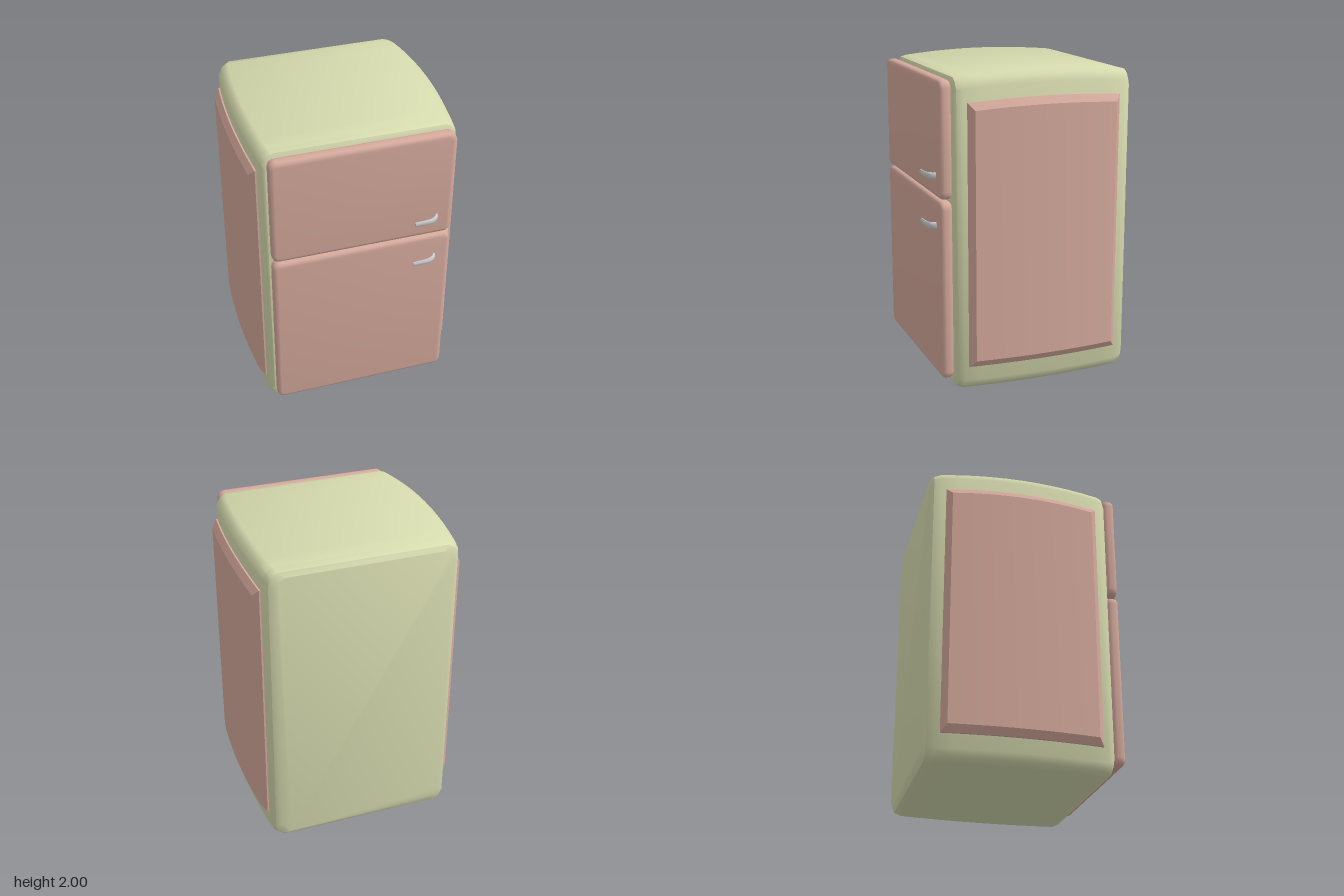
import * as THREE from 'three';
import { toCreasedNormals } from 'three/addons/utils/BufferGeometryUtils.js';

const shellMat = new THREE.MeshStandardMaterial({ color: 0xd6daae });
const panelMat = new THREE.MeshStandardMaterial({ color: 0xd6aa9d });
const metalMat = new THREE.MeshStandardMaterial({ color: 0xcccccc });

// Skins closed convex rings (counter-clockwise about the travel direction) and caps both ends
function loft(rings, crease) {
  const pos = [];
  const tri = (a, b, c) => {
    const area = b.clone().sub(a).cross(c.clone().sub(a)).length();
    if (area > 1e-8) pos.push(...a.toArray(), ...b.toArray(), ...c.toArray());
  };
  const n = rings[0].length;
  for (let i = 0; i < rings.length - 1; i++) {
    for (let j = 0; j < n; j++) {
      const k = (j + 1) % n, r = rings[i], s = rings[i + 1];
      tri(r[j], r[k], s[k]);
      tri(r[j], s[k], s[j]);
    }
  }
  const first = rings[0], last = rings[rings.length - 1];
  for (let j = 1; j < n - 1; j++) {
    tri(first[0], first[j + 1], first[j]);
    tri(last[0], last[j], last[j + 1]);
  }
  const geo = new THREE.BufferGeometry();
  geo.setAttribute('position', new THREE.Float32BufferAttribute(pos, 3));
  return toCreasedNormals(geo, crease);
}

function part(name, geo, mat) {
  const mesh = new THREE.Mesh(geo, mat);
  mesh.name = name;
  return mesh;
}

// Gentle bulge of the sides and roof, strongest mid-depth
const bulge = z => 1 - ((z + 0.06) / 0.53) ** 2;
const sideX = z => 0.61 + 0.034 * bulge(z);
const roofY = z => 1.975 + 0.025 * bulge(z);

// Cabinet: chamfered rectangles swept from back to front
function cabinet() {
  const section = (z, w, bottom, top) => {
    const corner = [[0, 0.07], [0.022, 0.025], [0.06, 0]];
    const right = [
      ...corner.map(([x, y]) => [w - x, bottom + y]).reverse(),
      ...corner.map(([x, y]) => [w - x, top - y]),
    ];
    const left = right.map(([x, y]) => [-x, y]).reverse();
    return [...right, ...left].map(([x, y]) => new THREE.Vector3(x, y, z));
  };
  const rings = [section(-0.655, 0.555, 0.045, 1.935), section(-0.633, 0.59, 0.012, 1.963)];
  for (let i = 0; i <= 10; i++) {
    const z = -0.585 + i * 0.105;
    rings.push(section(z, sideX(z), 0, roofY(z)));
  }
  rings.push(section(0.502, 0.598, 0.015, 1.968), section(0.517, 0.58, 0.04, 1.945));
  return part('cabinet', loft(rings, 0.6), shellMat);
}

// Raised side panel with a mitred bevel, following the bulge
function sidePanel(name, side) {
  const section = (z, lift, inset) => {
    const y0 = 0.163, y1 = roofY(z) - 0.155;
    const base = sideX(z) + 0.01, face = base + lift;
    const pts = [[0.55, y0], [base, y0], [face, y0 + inset], [face, y1 - inset], [base, y1], [0.55, y1]]
      .map(([x, y]) => new THREE.Vector3(side * x, y, z));
    return side > 0 ? pts : pts.reverse();
  };
  const rings = [section(-0.557, 0, 0)];
  for (let i = 0; i <= 8; i++) rings.push(section(-0.523 + i * 0.116, 0.031, 0.045));
  rings.push(section(0.44, 0, 0));
  return part(name, loft(rings, 0.4), panelMat);
}

// Door: rounded slab with soft edges front and back
function door(name, y0, y1) {
  const bevel = 0.026, r = 0.025, w = 0.575 - bevel;
  const b = y0 + bevel, t = y1 - bevel;
  const s = new THREE.Shape();
  s.moveTo(-w + r, b);
  s.lineTo(w - r, b);
  s.quadraticCurveTo(w, b, w, b + r);
  s.lineTo(w, t - r);
  s.quadraticCurveTo(w, t, w - r, t);
  s.lineTo(-w + r, t);
  s.quadraticCurveTo(-w, t, -w, t - r);
  s.lineTo(-w, b + r);
  s.quadraticCurveTo(-w, b, -w + r, b);
  const geo = new THREE.ExtrudeGeometry(s, {
    depth: 0.024, bevelThickness: 0.025, bevelSize: bevel, bevelSegments: 3, curveSegments: 4,
  });
  geo.translate(0, 0, 0.546);
  return part(name, toCreasedNormals(geo, 0.7), panelMat);
}

// Handle: tapering oval lever curving out from the door
function handle(name, y) {
  const path = new THREE.CatmullRomCurve3(
    [[0.475, 0.585], [0.458, 0.615], [0.425, 0.634], [0.37, 0.639], [0.317, 0.64]]
      .map(([x, z]) => new THREE.Vector3(x, y, z)));
  const up = new THREE.Vector3(0, 1, 0);
  const rings = [];
  for (let i = 0; i <= 14; i++) {
    const u = i / 14;
    const p = path.getPoint(u), t = path.getTangent(u);
    const across = new THREE.Vector3().crossVectors(up, t).normalize();
    const high = 0.024 - 0.008 * u, thick = 0.011 - 0.004 * u;
    rings.push(Array.from({ length: 16 }, (_, j) => {
      const a = j / 16 * Math.PI * 2;
      return p.clone().addScaledVector(across, thick * Math.cos(a)).addScaledVector(up, high * Math.sin(a));
    }));
  }
  return part(name, loft(rings, 0.9), metalMat);
}

export function createModel() {
  const model = new THREE.Group();
  model.name = 'refrigerator';
  model.add(
    cabinet(),
    sidePanel('leftPanel', 1),
    sidePanel('rightPanel', -1),
    door('freezerDoor', 1.232, 1.957),
    door('mainDoor', 0.078, 1.22),
    handle('freezerHandle', 1.367),
    handle('mainHandle', 1.055),
  );
  return model;
}
